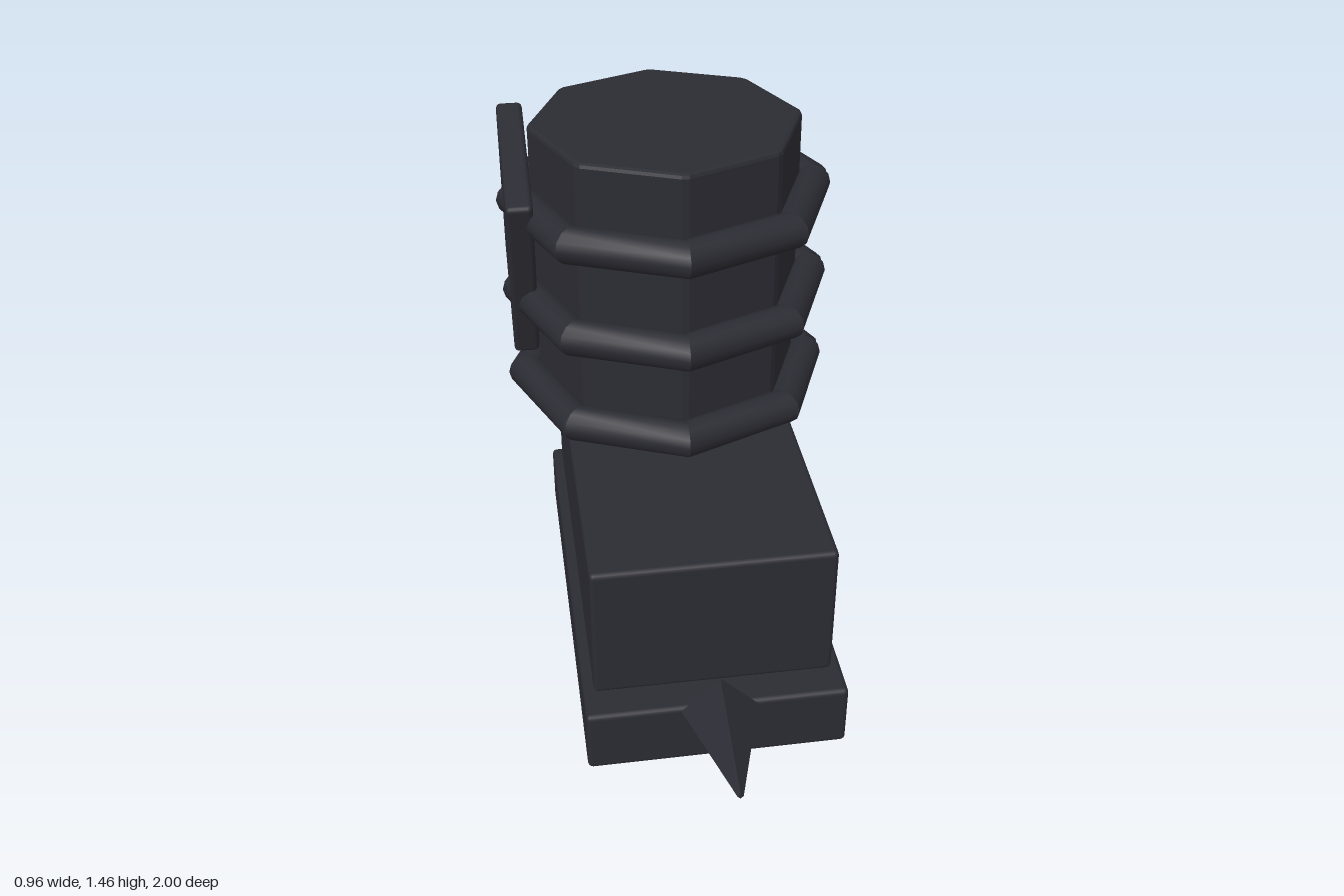
import * as THREE from 'three';
import { mergeGeometries } from 'three/addons/utils/BufferGeometryUtils.js';
import { RoundedBoxGeometry } from 'three/addons/geometries/RoundedBoxGeometry.js';

const TOWER_Z = -0.33;

// Octagonal column with softened corners and rims, standing along y
function octagonColumn(radius, height, bevel) {
  const r = radius - bevel;
  const corner = (i) => new THREE.Vector2(Math.cos(i * Math.PI / 4), Math.sin(i * Math.PI / 4)).multiplyScalar(r);
  const points = [];
  for (let i = 0; i < 8; i++) {
    points.push(corner(i).lerp(corner(i - 1), 0.03), corner(i).lerp(corner(i + 1), 0.03));
  }
  const geometry = new THREE.ExtrudeGeometry(new THREE.Shape(points), {
    depth: height - 2 * bevel, bevelEnabled: true, bevelSize: bevel, bevelThickness: bevel, bevelSegments: 2,
  });
  return geometry.translate(0, 0, bevel).rotateX(-Math.PI / 2);
}

// Eight straight tubes mitred into an octagon, left open with square ends at +x
function splitRing(radius, tube, sides = 12) {
  const half = Math.PI / 8, segments = [];
  for (let k = 0; k < 8; k++) {
    const mid = (2 * k + 1) * half;
    const normal = new THREE.Vector3(Math.cos(mid), 0, Math.sin(mid));
    const along = new THREE.Vector3(-Math.sin(mid), 0, Math.cos(mid));
    const positions = [], index = [];
    for (const end of [0, 1]) {
      const open = k + end === 0 || k + end === 8;
      const a = (k + end) * 2 * half;
      for (let j = 0; j < sides; j++) {
        const phi = j / sides * Math.PI * 2, u = tube * Math.cos(phi);
        const mitre = open ? 0 : (end ? 1 : -1) * u * Math.tan(half);
        const p = new THREE.Vector3(radius * Math.cos(a), tube * Math.sin(phi), radius * Math.sin(a));
        p.addScaledVector(normal, u).addScaledVector(along, mitre);
        positions.push(p.x, p.y, p.z);
      }
    }
    for (let j = 0; j < sides; j++) {
      const n = (j + 1) % sides;
      index.push(j, n, sides + n, j, sides + n, sides + j);
    }
    const g = new THREE.BufferGeometry();
    g.setAttribute('position', new THREE.Float32BufferAttribute(positions, 3));
    g.setIndex(index);
    g.computeVertexNormals();
    segments.push(g);
  }
  // End caps of the split
  for (const turn of [half, Math.PI - half]) {
    const cap = new THREE.CircleGeometry(tube, sides).rotateY(turn).translate(radius, 0, 0);
    cap.deleteAttribute('uv');
    segments.push(cap);
  }
  return mergeGeometries(segments);
}

// Four-sided spike with its base at z = 0 and its tip toward +z
function spikeGeometry(length) {
  return new THREE.CylinderGeometry(0.008, 0.105, length, 4)
    .translate(0, length / 2, 0).rotateX(Math.PI / 2).toNonIndexed();
}

export function createModel() {
  const model = new THREE.Group();
  const charcoal = new THREE.MeshStandardMaterial({ color: 0x2b2b33 });

  const add = (name, geometry, x, y, z) => {
    const mesh = new THREE.Mesh(geometry, charcoal);
    mesh.name = name;
    mesh.position.set(x, y, z);
    model.add(mesh);
    return mesh;
  };

  // Stepped base
  add('basePlate', new RoundedBoxGeometry(0.72, 0.192, 1.26, 2, 0.014), 0, 0.096, 0.05);
  add('body', new RoundedBoxGeometry(0.66, 0.412, 1.14, 2, 0.014), 0, 0.399, 0.02);

  // Tower and its split rings
  add('tower', octagonColumn(0.39, 0.95, 0.012), 0, 0.51, TOWER_Z);
  const ring = splitRing(0.43, 0.052);
  [0.665, 0.953, 1.24].forEach((y, i) => add('ring' + (i + 1), ring, 0, y, TOWER_Z));

  // Tilted panel on the tower's right side
  const panel = add('sidePanel', new RoundedBoxGeometry(0.075, 0.567, 0.472, 2, 0.014), -0.427, 1.095, -0.435);
  panel.rotation.x = 0.283;

  // Front and back spikes
  const frontSpike = spikeGeometry(0.31);
  frontSpike.computeVertexNormals();
  add('frontSpike', frontSpike, 0, 0.193, 0.69);
  const backSpike = spikeGeometry(0.29);
  backSpike.computeVertexNormals();
  add('backSpike', backSpike, 0, 0.193, -0.71).rotation.y = Math.PI;

  return model;
}
